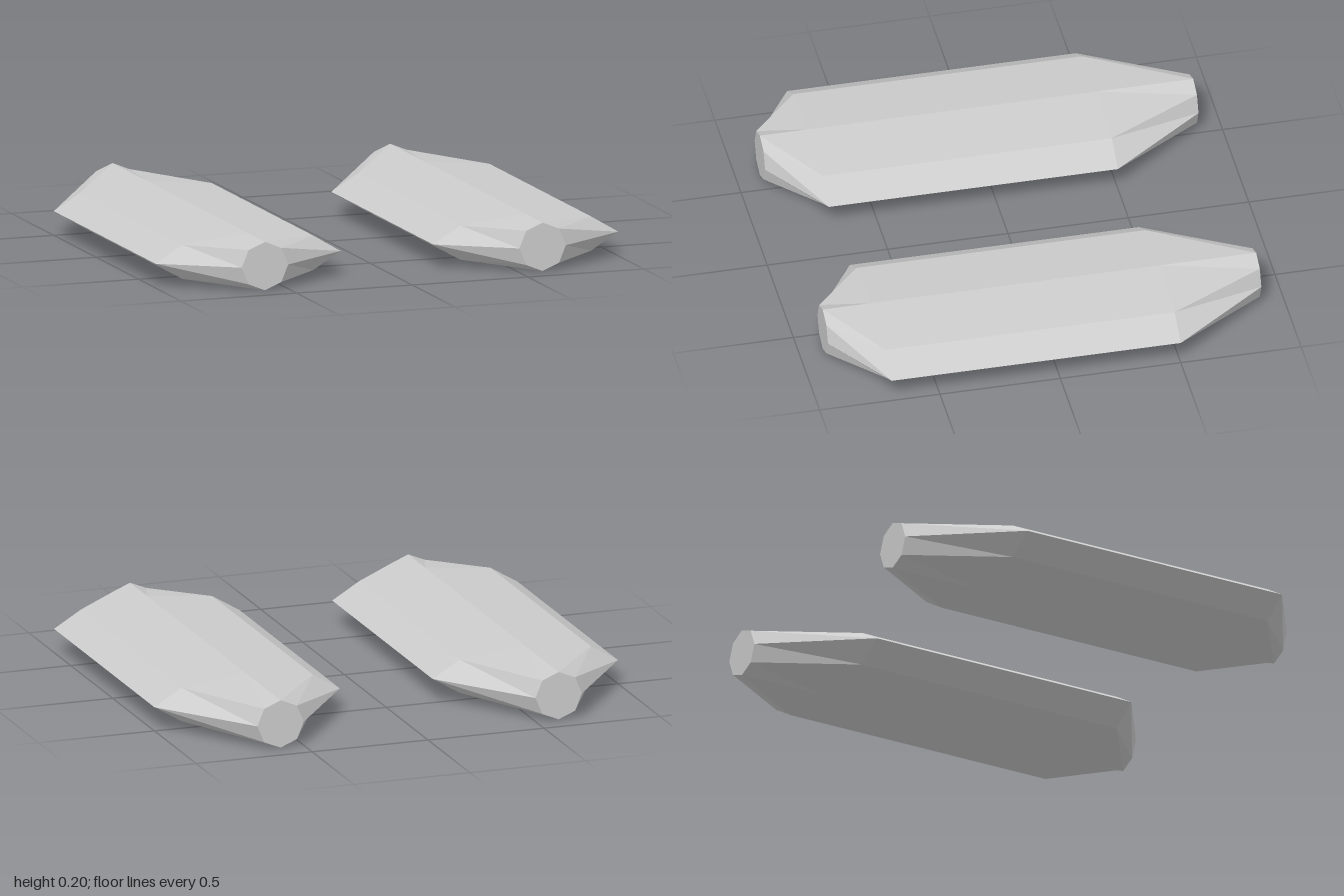
import * as THREE from 'three';

const SIDES = 8;

// Faceted hull lofted through elliptical eight-sided rings [z, radiusX, radiusY], back to front
function loft(rings) {
  const pos = [];
  const point = ([z, rx, ry], i) => {
    const a = (i % SIDES) * Math.PI * 2 / SIDES;
    return [rx * Math.cos(a), ry * Math.sin(a), z];
  };
  const tri = (...corners) => corners.forEach(p => pos.push(...p));
  const back = rings[0], front = rings[rings.length - 1];

  for (let i = 0; i < SIDES; i++) {
    // Side panels
    for (let j = 0; j < rings.length - 1; j++) {
      const a = point(rings[j], i), b = point(rings[j], i + 1);
      const c = point(rings[j + 1], i + 1), d = point(rings[j + 1], i);
      tri(a, b, c);
      tri(a, c, d);
    }
    // Flat end caps
    tri([0, 0, front[0]], point(front, i), point(front, i + 1));
    tri([0, 0, back[0]], point(back, i + 1), point(back, i));
  }

  const geometry = new THREE.BufferGeometry();
  geometry.setAttribute('position', new THREE.Float32BufferAttribute(pos, 3));
  geometry.computeVertexNormals();
  return geometry;
}

export function createModel() {
  const group = new THREE.Group();
  group.name = 'twinHulls';
  const material = new THREE.MeshStandardMaterial({ color: 0xcccccc, flatShading: true });

  // Long tapered tail, straight middle, short blunt nose
  const hull = loft([
    [-0.9, 0.1, 0.1],
    [-0.5, 0.4, 0.1],
    [0.7, 0.4, 0.1],
    [0.9, 0.1, 0.1],
  ]);

  // Two identical hulls side by side
  for (const [name, x] of [['leftHull', 0.6], ['rightHull', -0.6]]) {
    const mesh = new THREE.Mesh(hull, material);
    mesh.name = name;
    mesh.position.set(x, 0.1, 0);
    group.add(mesh);
  }
  return group;
}
